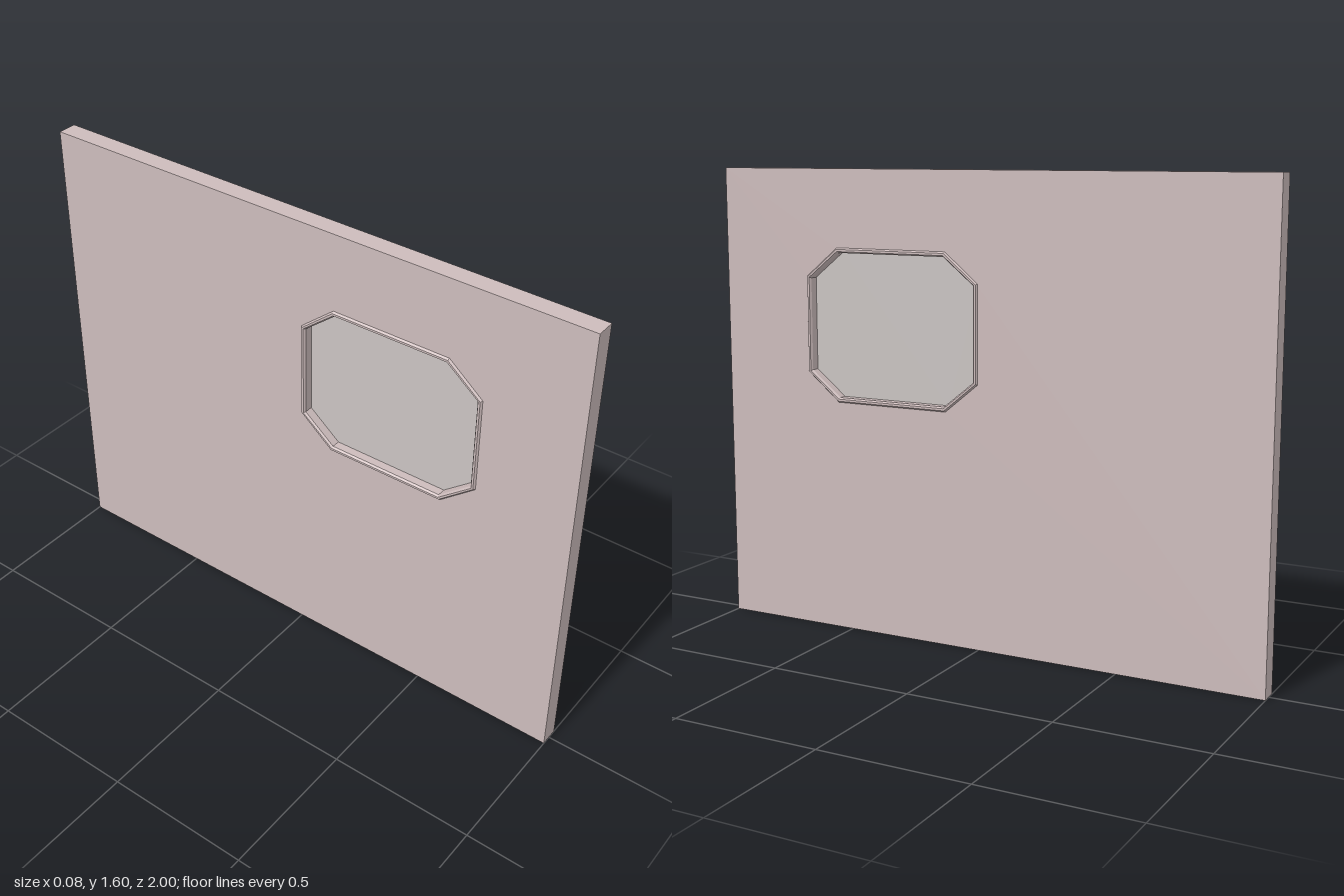
import * as THREE from 'three';

// Window centre and half sizes in the wall plane (z, y)
const CZ = 0.333, CY = 1.07, HZ = 0.332, HY = 0.265;
const CUT_Z = 0.122, CUT_Y = 0.1;

// Rectangle with cut corners, shrunk by an inset
function octagon(inset) {
  const w = HZ - inset, h = HY - inset;
  const a = HZ - CUT_Z - inset * 0.35, b = HY - CUT_Y - inset * 0.35;
  return [[w, -b], [w, b], [a, h], [-a, h], [-w, b], [-w, -b], [-a, -h], [a, -h]]
    .map(([z, y]) => new THREE.Vector2(CZ + z, CY + y));
}

// Extrude a (z, y) shape through the wall thickness, centred on x = 0
function slab(name, shape, thickness, color, bevel = 0) {
  const geometry = new THREE.ExtrudeGeometry(shape, {
    depth: thickness - 2 * bevel,
    bevelEnabled: bevel > 0,
    bevelThickness: bevel,
    bevelSize: bevel * 0.7,
    bevelOffset: -bevel * 0.7,
    bevelSegments: 1,
  });
  geometry.translate(0, 0, -thickness / 2 + bevel);
  geometry.rotateY(-Math.PI / 2);
  const mesh = new THREE.Mesh(geometry, new THREE.MeshStandardMaterial({ color, flatShading: true }));
  mesh.name = name;
  return mesh;
}

export function createModel() {
  const group = new THREE.Group();
  group.name = 'wallWithWindow';

  // Wall panel with the window opening
  const wall = new THREE.Shape([[-1, 0], [1, 0], [1, 1.6], [-1, 1.6]].map(([z, y]) => new THREE.Vector2(z, y)));
  wall.holes.push(new THREE.Path(octagon(0.004)));
  group.add(slab('wall', wall, 0.066, 0xcdbcbc));

  // Slim frame standing slightly proud on both faces
  const frame = new THREE.Shape(octagon(0));
  frame.holes.push(new THREE.Path(octagon(0.017)));
  group.add(slab('windowFrame', frame, 0.08, 0xcdbcbc, 0.007));

  // Thin pane set in the middle of the frame
  group.add(slab('windowPane', new THREE.Shape(octagon(0.01)), 0.008, 0xcac4c2));

  return group;
}
